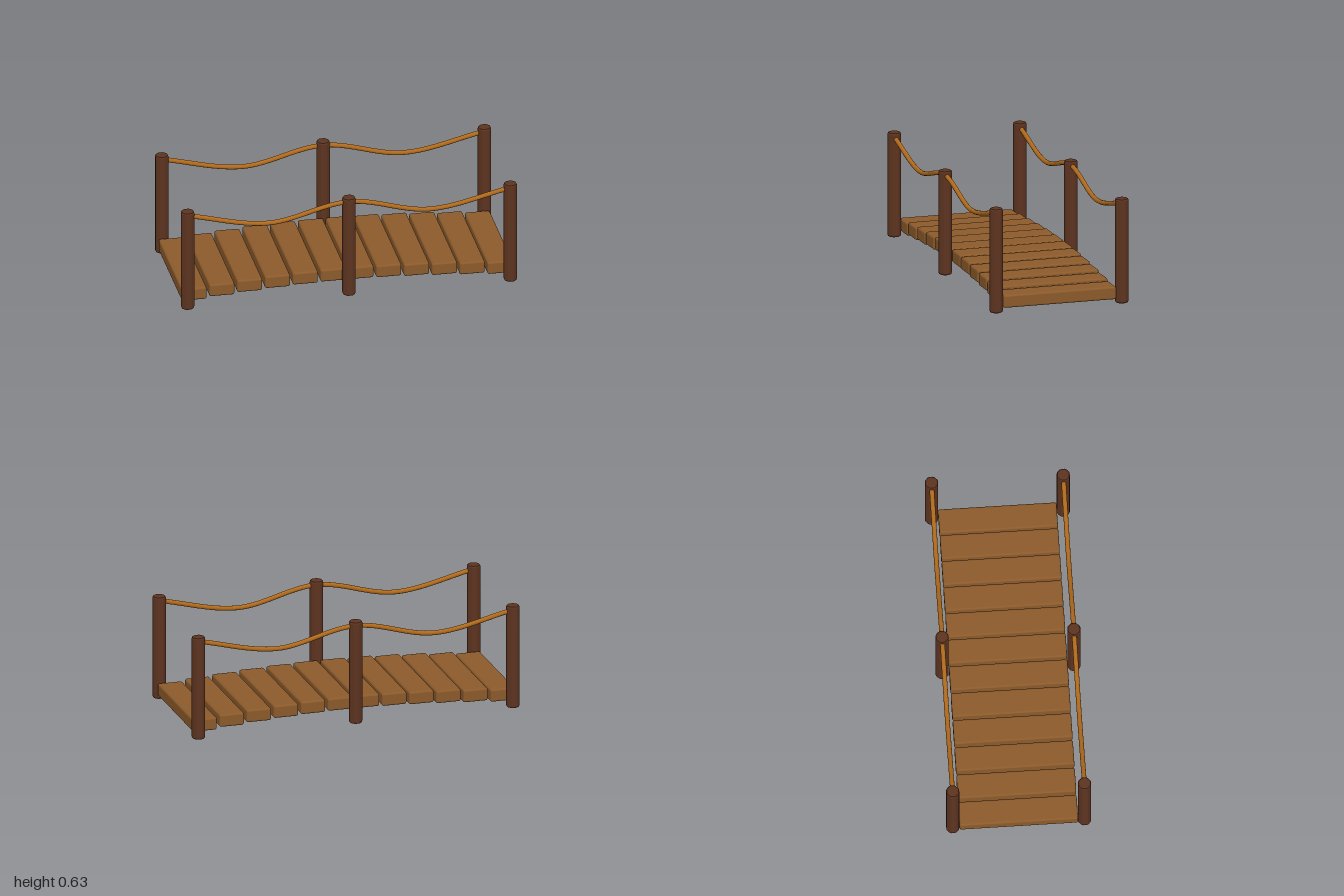
import * as THREE from 'three';
import { RoundedBoxGeometry } from 'three/addons/geometries/RoundedBoxGeometry.js';

const POST_X = 0.962, RAIL_Z = 0.386, POST_HEIGHT = 0.63, POST_HALF = 0.038;

function material(name, color, extra = {}) {
  const m = new THREE.MeshStandardMaterial({ color, ...extra });
  m.name = name;
  return m;
}

// Octagonal post with clipped corners and rounded ends, standing on y = 0
function postGeometry() {
  const bevel = 0.012;
  const radius = (POST_HALF - bevel) / Math.cos(Math.PI / 8);
  const corners = [];
  for (let i = 0; i < 8; i++) {
    const a = Math.PI / 8 + (i * Math.PI) / 4;
    corners.push(new THREE.Vector2(Math.cos(a) * radius, Math.sin(a) * radius));
  }
  const points = [];
  corners.forEach((c, i) => {
    points.push(c.clone().lerp(corners[(i + 7) % 8], 0.12));
    points.push(c.clone().lerp(corners[(i + 1) % 8], 0.12));
  });
  const geometry = new THREE.ExtrudeGeometry(new THREE.Shape(points), {
    depth: POST_HEIGHT - 2 * bevel,
    bevelSize: bevel,
    bevelThickness: bevel,
    bevelSegments: 2,
  });
  geometry.translate(0, 0, bevel);
  geometry.rotateX(-Math.PI / 2);
  return geometry;
}

// Rope hung over three posts, sagging midway between them
function ropeGeometry() {
  const half = POST_X / 2;
  const curve = new THREE.CatmullRomCurve3([
    new THREE.Vector3(-POST_X, 0.598, 0),
    new THREE.Vector3(-half, 0.505, 0),
    new THREE.Vector3(0, 0.598, 0),
    new THREE.Vector3(half, 0.505, 0),
    new THREE.Vector3(POST_X, 0.598, 0),
  ]);
  return new THREE.TubeGeometry(curve, 64, 0.014, 10, false);
}

export function createModel() {
  const bridge = new THREE.Group();
  bridge.name = 'ropeBridge';
  const plankWood = material('plankWood', 0x8b5a2b);
  const postWood = material('postWood', 0x5c3320, { flatShading: true });
  const ropeFibre = material('ropeFibre', 0xb06a1c);

  function add(name, geometry, mat, x, y, z) {
    const mesh = new THREE.Mesh(geometry, mat);
    mesh.name = name;
    mesh.position.set(x, y, z);
    bridge.add(mesh);
  }

  // Deck planks rising in a gentle arch
  const plank = new RoundedBoxGeometry(0.15, 0.077, 0.694, 2, 0.012);
  const count = 12;
  for (let i = 0; i < count; i++) {
    const y = 0.0645 + 0.0455 * Math.sin((Math.PI * i) / (count - 1));
    add(`plank${i + 1}`, plank, plankWood, -0.914 + i * 0.1658, y, 0);
  }

  // Posts and ropes on both sides
  const post = postGeometry();
  const rope = ropeGeometry();
  for (const [side, z] of [['front', RAIL_Z], ['back', -RAIL_Z]]) {
    for (const [place, x] of [['Right', -POST_X], ['Middle', 0], ['Left', POST_X]]) {
      add(`${side}${place}Post`, post, postWood, x, 0, z);
    }
    add(`${side}Rope`, rope, ropeFibre, 0, 0, z);
  }
  return bridge;
}
